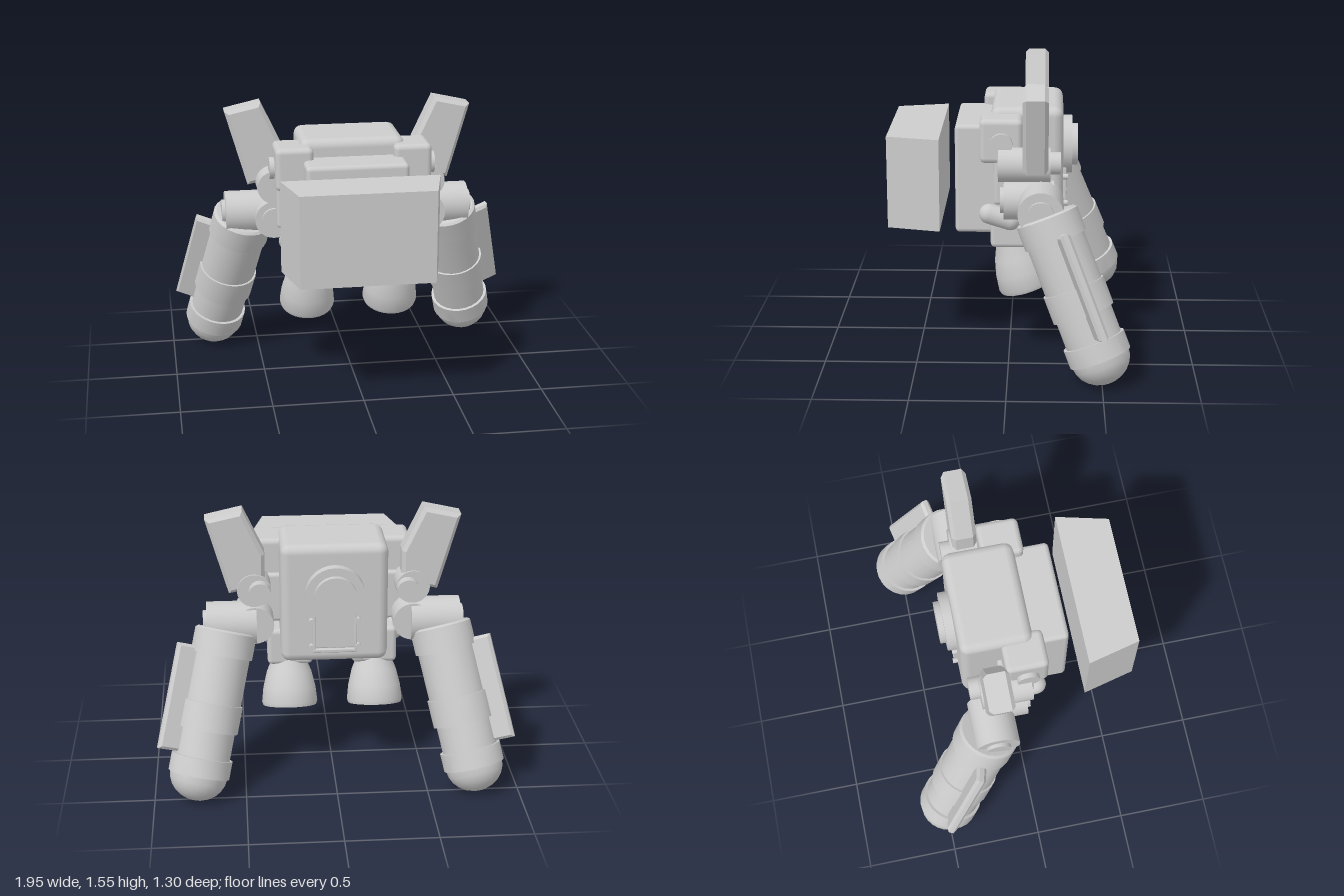
import * as THREE from 'three';
import { toCreasedNormals } from 'three/addons/utils/BufferGeometryUtils.js';
import { RoundedBoxGeometry } from 'three/addons/geometries/RoundedBoxGeometry.js';

const grey = new THREE.MeshStandardMaterial({ color: 0xcccccc });
grey.name = 'light grey';

// Box given by its limits on each axis, with bevelled edges
function block(x0, x1, y0, y1, z0, z1, r = 0.02) {
  const g = new RoundedBoxGeometry(x1 - x0, y1 - y0, z1 - z0, 2, r);
  return g.translate((x0 + x1) / 2, (y0 + y1) / 2, (z0 + z1) / 2);
}

// Cylinder lying along x or z between two limits
function rod(axis, a, b, r, u, y) {
  const g = new THREE.CylinderGeometry(r, r, b - a, 28);
  if (axis === 'x') return g.rotateZ(Math.PI / 2).translate((a + b) / 2, y, u);
  return g.rotateX(Math.PI / 2).translate(u, y, (a + b) / 2);
}

// Turned part with crisp steps
function turned(points, sides = 24) {
  const g = new THREE.LatheGeometry(points.map(p => new THREE.Vector2(...p)), sides);
  return toCreasedNormals(g, 0.6);
}

// Bevelled plate from an outline in xy, centred on z
function plate(outline, depth, bevel) {
  const shape = new THREE.Shape(outline.map(p => new THREE.Vector2(...p)));
  const g = new THREE.ExtrudeGeometry(shape, {
    depth: depth - 2 * bevel, bevelThickness: bevel, bevelSize: bevel, bevelOffset: -bevel, bevelSegments: 1,
  });
  return g.translate(0, 0, bevel - depth / 2);
}

// Copy reflected in x with its corner order restored
function mirrored(geometry) {
  const g = geometry.index ? geometry.toNonIndexed() : geometry.clone();
  g.scale(-1, 1, 1);
  for (const attr of Object.values(g.attributes)) {
    const n = attr.itemSize;
    for (let i = 0; i < attr.count; i += 3) {
      for (let k = 0; k < n; k++) {
        const p = (i + 1) * n + k, q = (i + 2) * n + k, t = attr.array[p];
        attr.array[p] = attr.array[q];
        attr.array[q] = t;
      }
    }
  }
  return g;
}

export function createModel() {
  const model = new THREE.Group();
  model.name = 'thrusterPack';
  const add = (name, g) => {
    const m = new THREE.Mesh(g, grey);
    m.name = name;
    model.add(m);
  };
  const pair = (name, g) => {
    add(name + 'Left', g);
    add(name + 'Right', mirrored(g));
  };

  // Core
  add('body', block(-0.29, 0.29, 0.70, 1.372, -0.29, 0.1, 0.05));
  add('chest', block(-0.28, 0.28, 0.67, 1.275, 0.03, 0.295, 0.025));

  // Tapered block floating in front
  const front = new THREE.BoxGeometry(0.86, 0.505, 0.285).translate(0, 0.977, 0.5125);
  const pos = front.attributes.position;
  for (let i = 0; i < pos.count; i++) {
    if (pos.getZ(i) > 0.5) pos.setX(i, Math.sign(pos.getX(i)) * 0.36);
  }
  front.computeVertexNormals();
  add('frontBlock', front);

  // Back hatch and the panel under it
  add('hatchRim', rod('z', -0.34, -0.27, 0.16, 0, 1.105));
  add('hatchCap', rod('z', -0.372, -0.33, 0.115, 0, 1.105));
  add('backPanel', block(-0.11, 0.11, 0.79, 0.99, -0.302, -0.28, 0.005));
  pair('panelRail', block(0.105, 0.12, 0.78, 1.0, -0.31, -0.28, 0.005));
  for (const y of [0.8, 0.95]) pair('panelBolt', rod('z', -0.317, -0.28, 0.015, 0.125, y));
  add('panelSill', block(-0.12, 0.12, 0.765, 0.785, -0.31, -0.28, 0.005));

  // Shoulders and their round joints
  pair('shoulder', block(0.22, 0.43, 1.1, 1.34, -0.075, 0.155, 0.03));
  pair('shoulderSide', block(0.24, 0.42, 0.87, 1.15, -0.1, 0.08));
  pair('shoulderKnob', rod('x', 0.4, 0.457, 0.06, 0.04, 1.21));
  pair('upperJoint', rod('z', -0.22, 0.055, 0.092, 0.43, 1.1));
  pair('upperJointHub', rod('z', -0.275, -0.2, 0.06, 0.4, 1.1));
  pair('lowerJoint', rod('z', -0.24, 0.025, 0.105, 0.43, 0.905));
  pair('lowerJointHub', rod('z', 0, 0.045, 0.07, 0.43, 0.905));

  // Raised wings
  const wing = plate([[0.565, 1.08], [0.685, 1.5], [0.485, 1.545], [0.37, 1.3], [0.37, 1.125]], 0.135, 0.02);
  pair('wing', wing.translate(0, 0, -0.1425));

  // Arms carrying the pods
  pair('arm', rod('x', 0.42, 0.69, 0.12, -0.172, 0.9));
  pair('armPin', rod('x', 0.6, 0.71, 0.068, -0.172, 0.905));

  // Slanted pods: local y runs up the pod, local x points outward
  const up = new THREE.Vector3(-0.213, 0.905, 0.36).normalize();
  const out = new THREE.Vector3(0.93, 0.30, -0.22);
  out.addScaledVector(up, -out.dot(up)).normalize();
  const slant = new THREE.Matrix4().makeBasis(out, up, out.clone().cross(up)).setPosition(0.585, 0.87, -0.2);

  const pod = [];
  for (let i = 0; i <= 6; i++) {
    const a = (i / 6) * Math.PI / 2;
    pod.push([0.158 * Math.sin(a), -0.8 - 0.143 * Math.cos(a)]);
  }
  pod.push([0.168, -0.8], [0.168, -0.7], [0.152, -0.7], [0.152, -0.55], [0.167, -0.55], [0.167, -0.4],
    [0.156, -0.4], [0.156, -0.14], [0.169, -0.14], [0.169, -0.01], [0.155, 0], [0, 0]);
  pair('pod', turned(pod).applyMatrix4(slant));

  const fin = plate([[0.12, -0.69], [0.258, -0.69], [0.258, -0.11], [0.12, -0.11]], 0.055, 0.015);
  pair('podFin', fin.applyMatrix4(slant));

  // Hips and bell nozzles
  pair('hip', block(0.11, 0.36, 0.61, 0.82, -0.11, 0.1, 0.025));
  const lobe = new THREE.CapsuleGeometry(0.055, 0.12, 6, 16).rotateX(Math.PI / 2 - 0.3);
  pair('hipLobe', lobe.translate(0.35, 0.785, 0.05));

  const bell = turned([[0, -0.06], [0.085, -0.06], [0.125, -0.16], [0.14, -0.25], [0.15, -0.25], [0.156, -0.23],
    [0.147, -0.15], [0.125, -0.06], [0.1, 0], [0.09, 0.05], [0, 0.05]], 32);
  pair('nozzle', bell.rotateX(0.31).translate(0.24, 0.6, -0.02));

  return model;
}
